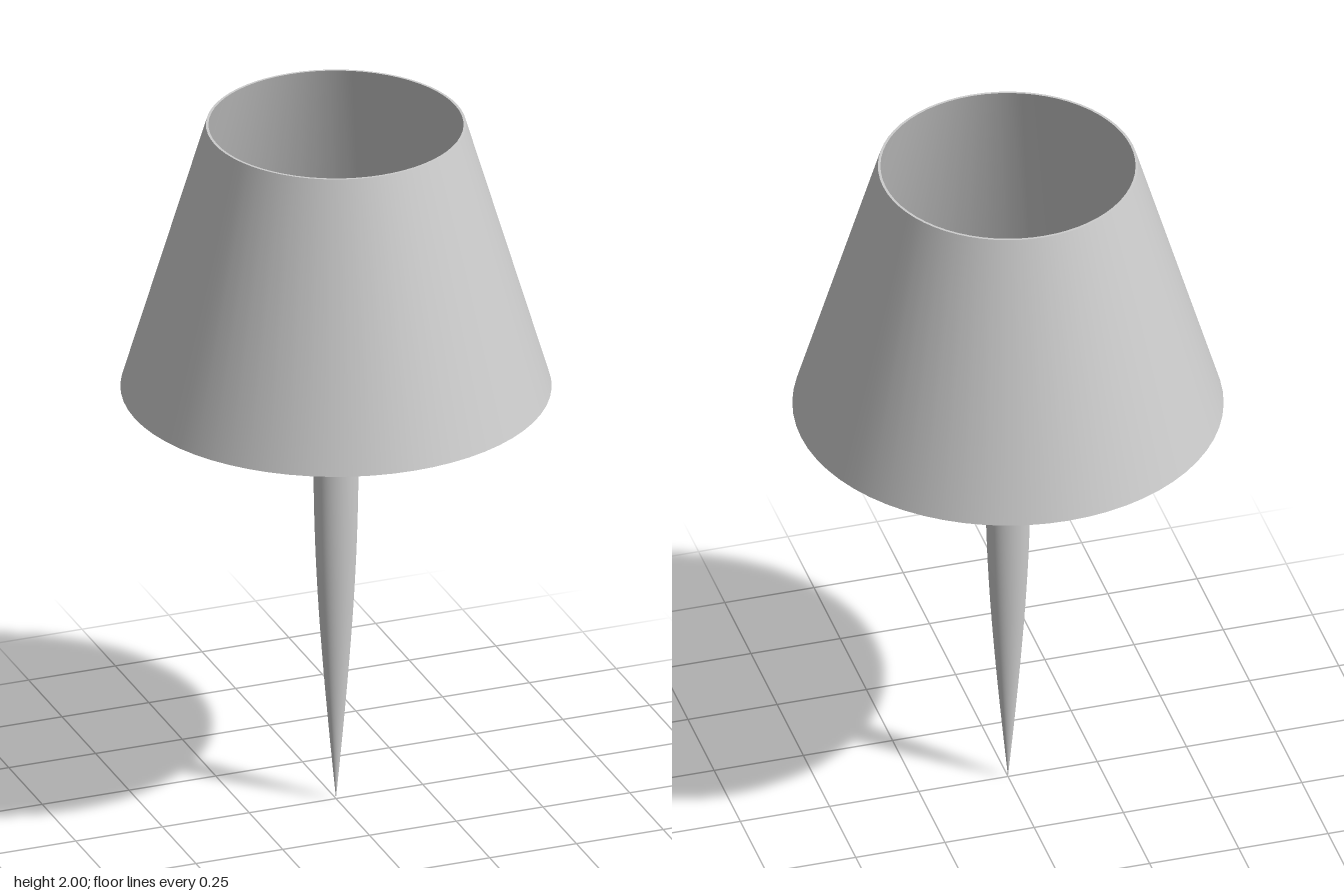
import * as THREE from 'three';

const SEGMENTS = 64;

// Lathe from [radius, height] points, listed upward for outward faces
function lathe(points, material, name) {
  const profile = points.map(([r, y]) => new THREE.Vector2(r, y));
  const mesh = new THREE.Mesh(new THREE.LatheGeometry(profile, SEGMENTS), material);
  mesh.name = name;
  return mesh;
}

export function createModel() {
  const model = new THREE.Group();
  model.name = 'lamp';
  const grey = new THREE.MeshStandardMaterial({ color: 0xcccccc });
  grey.name = 'lightGrey';

  // Thin hollow shade, one lathe per wall so the rims stay crisp
  const shade = new THREE.Group();
  shade.name = 'shade';
  const walls = [[0.58, 1.225], [0.35, 2], [0.343, 2], [0.573, 1.225]];
  ['outerWall', 'topRim', 'innerWall', 'bottomRim'].forEach((name, i) => {
    shade.add(lathe([walls[i], walls[(i + 1) % 4]], grey, name));
  });
  model.add(shade);

  // Oval stem, swelling from a pointed foot and narrowing again to a flat top
  const stem = new THREE.Group();
  stem.name = 'stem';
  const curve = new THREE.SplineCurve([
    [0, 0], [0.019, 0.2], [0.036, 0.4], [0.05, 0.6], [0.059, 0.8],
    [0.063, 1.03], [0.061, 1.24], [0.054, 1.43], [0.045, 1.6],
  ].map(([r, y]) => new THREE.Vector2(r, y)));
  const body = curve.getPoints(40).map((p) => [Math.max(p.x, 0), p.y]);
  stem.add(lathe(body, grey, 'stemBody'));
  stem.add(lathe([[0.045, 1.6], [0, 1.6]], grey, 'stemTop'));
  stem.scale.z = 0.75;
  model.add(stem);

  return model;
}
